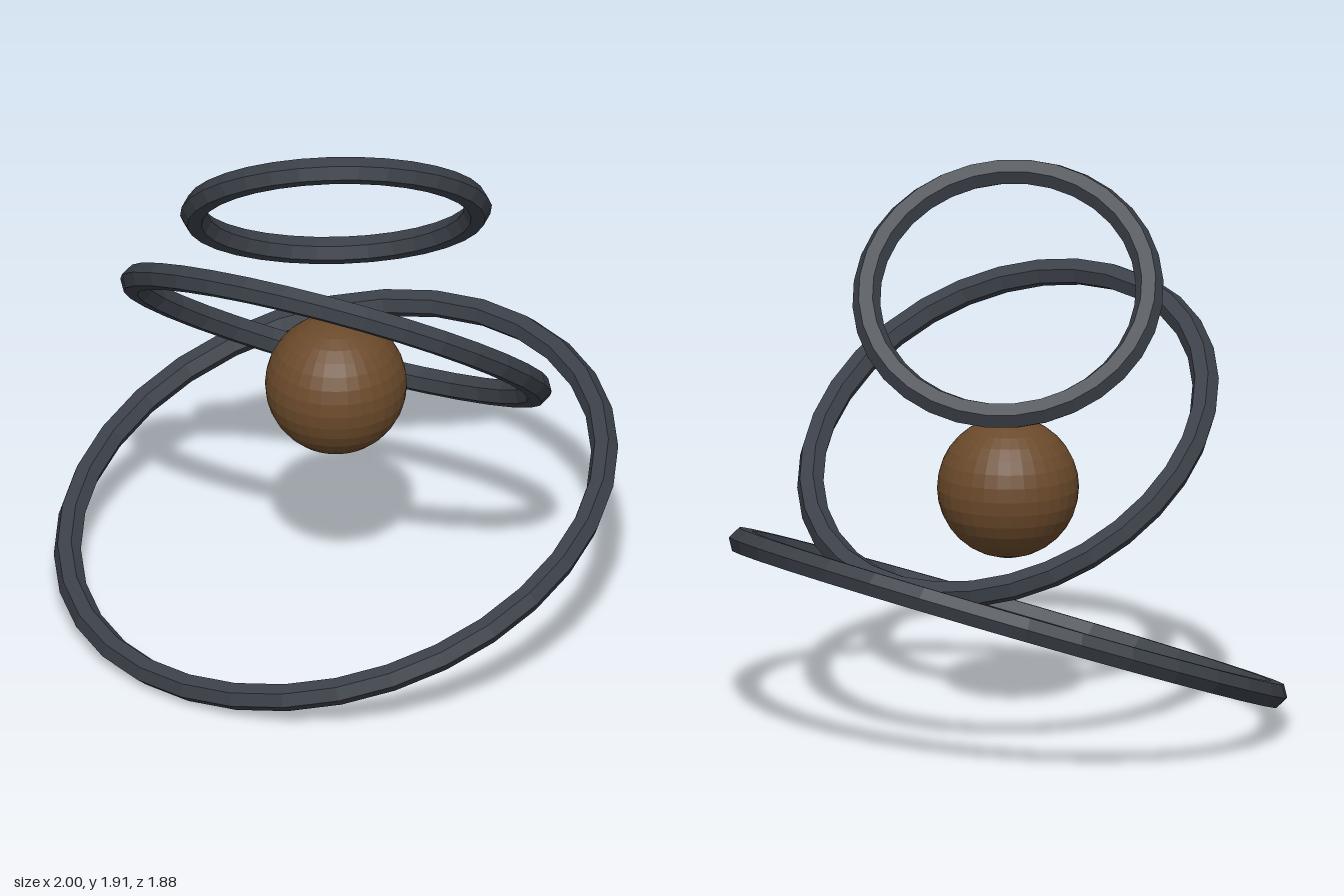
import * as THREE from 'three';

export function createModel() {
  const model = new THREE.Group();
  const ringMaterial = new THREE.MeshStandardMaterial({ color: 0x3b4048, flatShading: true });
  const coreMaterial = new THREE.MeshStandardMaterial({ color: 0x6b4a2b, flatShading: true });

  // Tilted hexagonal-section rings: radius, height of centre, axis direction
  const rings = [
    ['lowerRing', 0.952, 0.374, [0, 0.94, 0.343]],
    ['middleRing', 0.72, 1.025, [-0.23, 0.78, -0.58]],
    ['upperRing', 0.488, 1.517, [-0.533, 0.695, -0.48]],
  ];
  for (const [name, radius, y, axis] of rings) {
    const ring = new THREE.Mesh(new THREE.TorusGeometry(radius, 0.048, 6, 32), ringMaterial);
    const n = new THREE.Vector3(...axis).normalize();
    // Tilt about x, then y, so the ring's axis points along n
    ring.rotation.set(Math.atan2(-n.y, n.z), Math.atan2(n.x, Math.hypot(n.y, n.z)), 0);
    ring.position.y = y;
    ring.name = name;
    model.add(ring);
  }

  // Central ball
  const core = new THREE.Mesh(new THREE.SphereGeometry(0.244, 32, 16), coreMaterial);
  core.position.y = 0.835;
  core.name = 'coreBall';
  model.add(core);

  return model;
}
